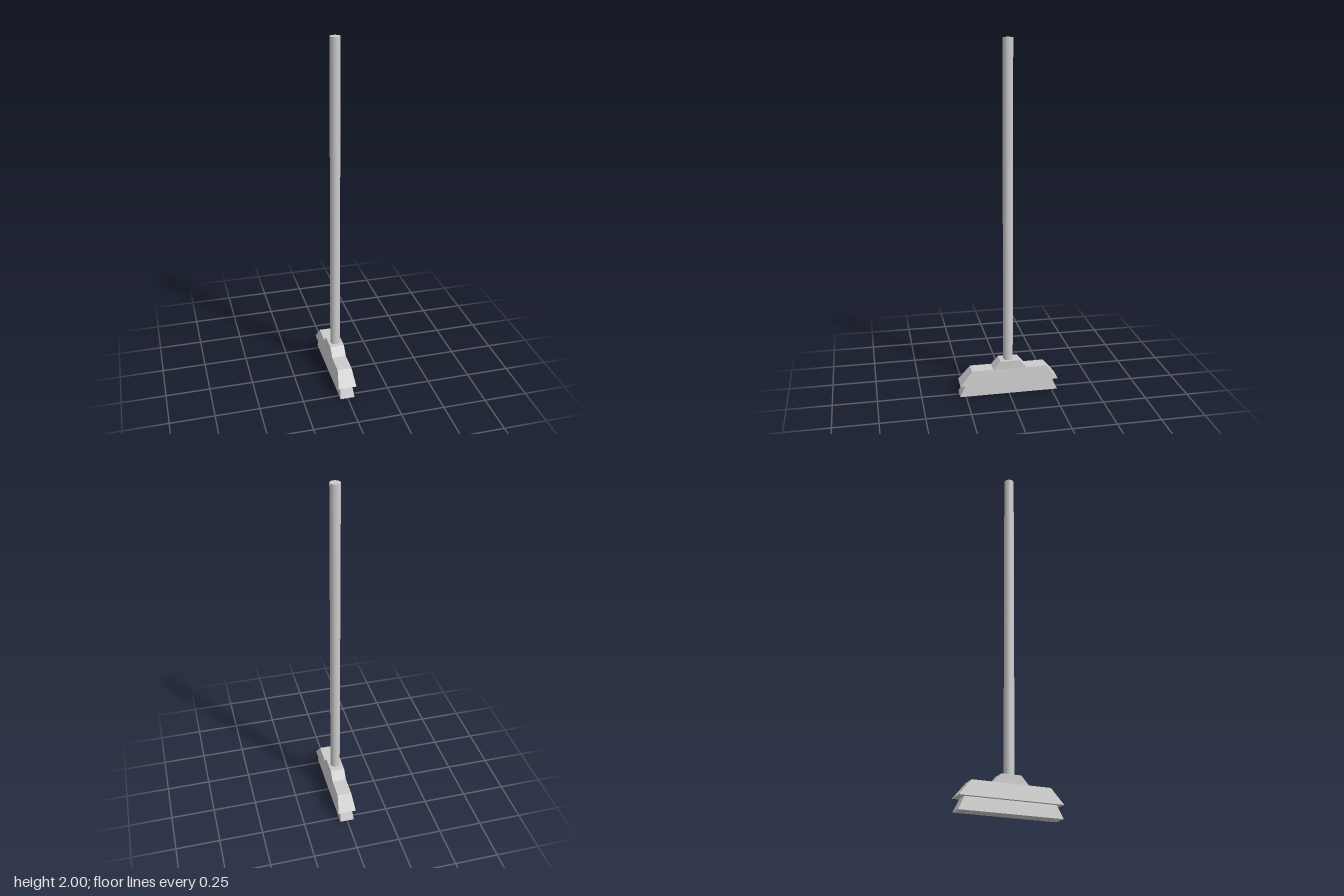
import * as THREE from 'three';

const material = new THREE.MeshStandardMaterial({ color: 0xcccccc });

// Tapered block between two rectangles, each given as { y, x: half width, z: [back, front] }
function taperedBlock(name, low, high) {
  const geometry = new THREE.BoxGeometry(2, 1, 1);
  const pos = geometry.attributes.position;
  for (let i = 0; i < pos.count; i++) {
    const ring = pos.getY(i) > 0 ? high : low;
    pos.setXYZ(i, pos.getX(i) * ring.x, ring.y, ring.z[pos.getZ(i) > 0 ? 1 : 0]);
  }
  geometry.computeVertexNormals();
  const mesh = new THREE.Mesh(geometry, material);
  mesh.name = name;
  return mesh;
}

export function createModel() {
  const group = new THREE.Group();
  group.name = 'broom';

  // Bristles flare out towards the floor
  group.add(taperedBlock('bristles',
    { y: 0, x: 0.041, z: [-0.284, 0.284] },
    { y: 0.07, x: 0.033, z: [-0.251, 0.251] }));

  // Head slopes in on all four sides up to the shoulders
  group.add(taperedBlock('head',
    { y: 0.07, x: 0.052, z: [-0.285, 0.283] },
    { y: 0.153, x: 0.041, z: [-0.217, 0.215] }));

  // Raised socket that holds the handle
  group.add(taperedBlock('socket',
    { y: 0.153, x: 0.041, z: [-0.1, 0.092] },
    { y: 0.2, x: 0.041, z: [-0.058, 0.05] }));

  // Long round handle
  const handle = new THREE.Mesh(new THREE.CylinderGeometry(0.028, 0.028, 1.82, 32), material);
  handle.position.y = 1.09;
  handle.name = 'handle';
  group.add(handle);

  return group;
}
